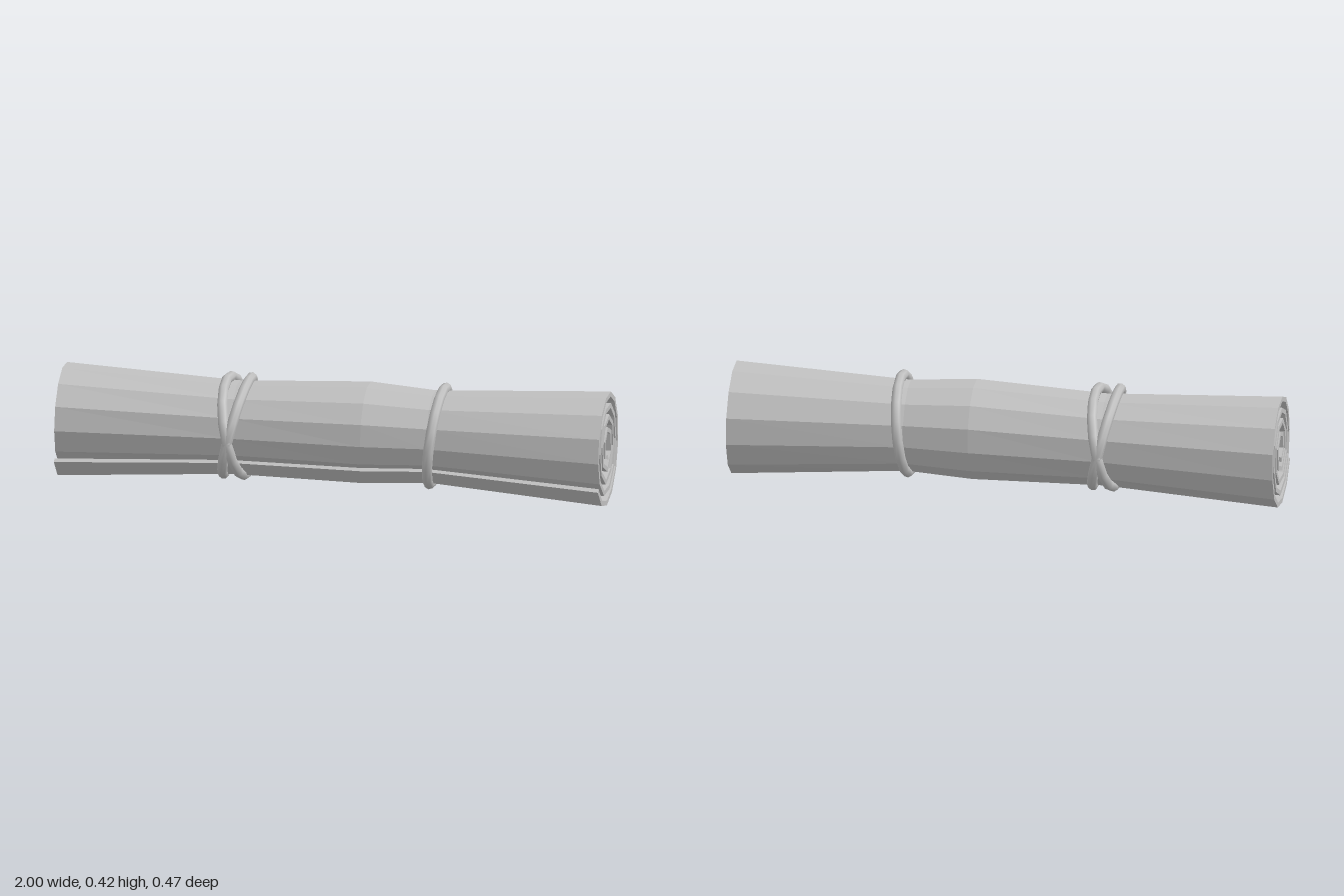
import * as THREE from 'three';

// Stations along the roll: x, centre height, height scale, depth scale, twist of the core
const STATIONS = [
  [-1, 0.212, 0.99, 0.98, 0.25],
  [-0.36, 0.217, 0.82, 0.80, 0.1],
  [0.12, 0.227, 0.89, 0.87, -0.1],
  [0.36, 0.225, 0.81, 0.79, -0.05],
  [1, 0.219, 1.0, 1.0, 0],
];
const THICKNESS = 0.018;

// Angles and radii of the coil, with fewer sides on each inner turn
function spiral() {
  const points = [];
  let turns = 0;
  const start = -Math.PI / 6;
  [13, 10, 8, 6, 5].forEach((sides, turn) => {
    const count = turn === 4 ? 2 : sides;
    for (let i = 0; i < count; i++) {
      turns = turn + i / sides;
      points.push({ angle: start - turns * Math.PI * 2, radius: 0.225 - 0.041 * turns, turns });
    }
  });
  return points;
}

// Thick coiled sheet swept through the stations, with flat facets
function sheetGeometry() {
  const coil = spiral();
  const n = coil.length;
  const place = ([x, cy, sy, sz, twist], p, inset) => {
    const a = p.angle + twist * p.turns / 4;
    const r = p.radius - inset;
    return [x, cy + Math.sin(a) * r * sy, Math.cos(a) * r * sz];
  };
  const loops = STATIONS.map((s) => [
    ...coil.map((p) => place(s, p, 0)),
    ...coil.map((p) => place(s, p, THICKNESS)).reverse(),
  ]);
  const positions = [];
  const quad = (a, b, c, d) => positions.push(...a, ...b, ...c, ...a, ...c, ...d);

  // Outer face, inner face and the two long edges
  for (let s = 0; s < loops.length - 1; s++) {
    for (let i = 0; i < 2 * n; i++) {
      const j = (i + 1) % (2 * n);
      quad(loops[s][i], loops[s][j], loops[s + 1][j], loops[s + 1][i]);
    }
  }
  // Spiral end edges
  const left = loops[loops.length - 1];
  const right = loops[0];
  for (let i = 0; i < n - 1; i++) {
    const k = 2 * n - 1 - i;
    quad(left[i], left[i + 1], left[k - 1], left[k]);
    quad(right[k], right[k - 1], right[i + 1], right[i]);
  }
  const geometry = new THREE.BufferGeometry();
  geometry.setAttribute('position', new THREE.Float32BufferAttribute(positions, 3));
  geometry.computeVertexNormals();
  return geometry;
}

// Oval cord loop around the roll, leaning along x
class OvalLoop extends THREE.Curve {
  constructor(x, y, lean, height, depth) {
    super();
    Object.assign(this, { x, y, lean, height, depth });
  }
  getPoint(t, target = new THREE.Vector3()) {
    const a = t * Math.PI * 2;
    return target.set(
      this.x + Math.sin(a) * this.lean,
      this.y + Math.sin(a) * this.height,
      Math.cos(a) * this.depth,
    );
  }
}

export function createModel() {
  const group = new THREE.Group();
  group.name = 'rolledScroll';
  const grey = new THREE.MeshStandardMaterial({ color: 0xc0c0c0 });
  grey.name = 'light grey';

  const add = (name, geometry) => {
    const mesh = new THREE.Mesh(geometry, grey);
    mesh.name = name;
    group.add(mesh);
  };
  const cord = (name, ...oval) =>
    add(name, new THREE.TubeGeometry(new OvalLoop(...oval), 16, 0.019, 8, true));

  add('rolledSheet', sheetGeometry());
  // Two crossed cords on one side, a single cord on the other
  cord('crossedCordA', -0.36, 0.217, -0.04, 0.172, 0.216);
  cord('crossedCordB', -0.36, 0.217, 0.04, 0.172, 0.216);
  cord('singleCord', 0.375, 0.222, 0.02, 0.175, 0.184);
  return group;
}
